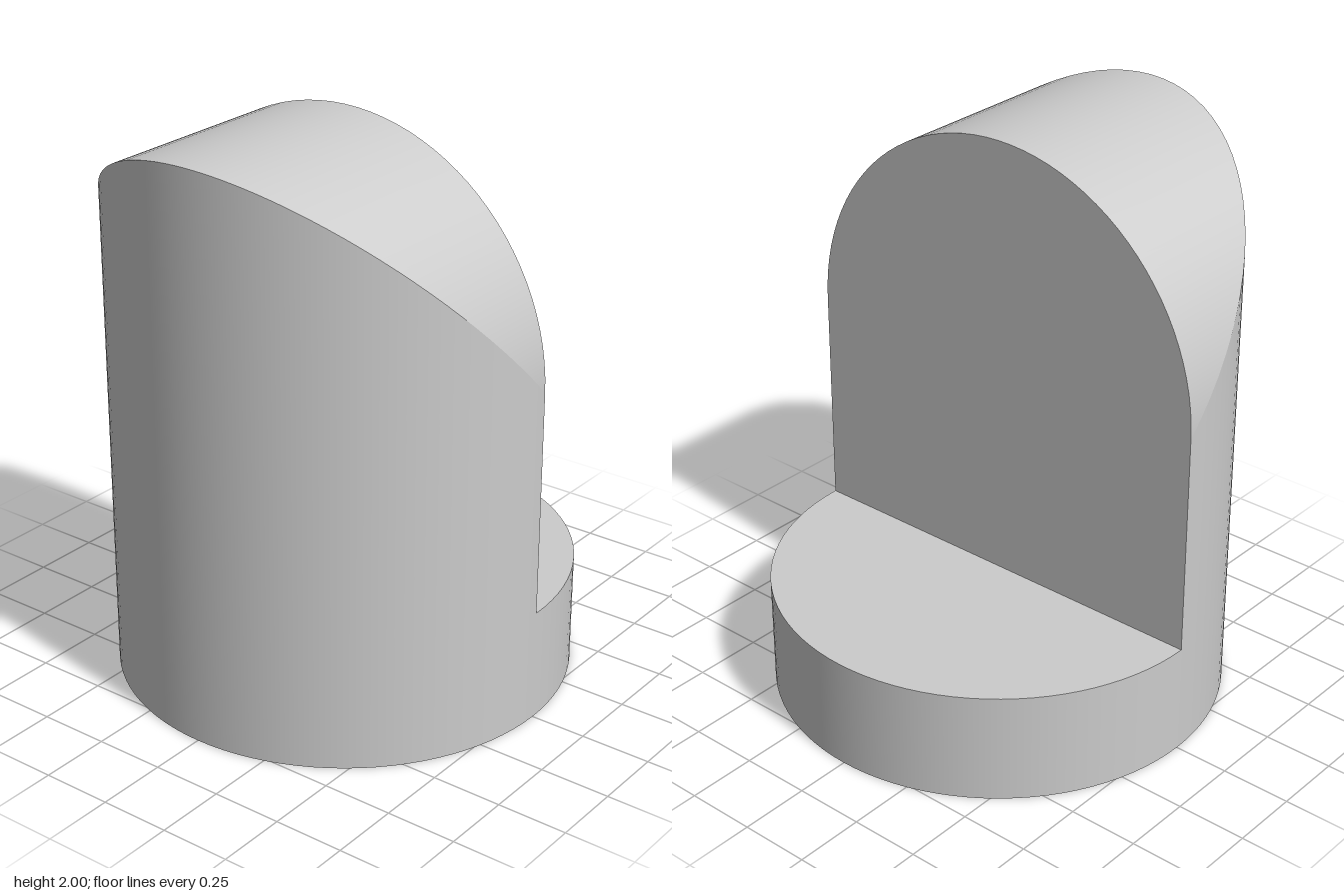
import * as THREE from 'three';

const R = 0.8, BASE_H = 0.4, SPRING_Y = 1.2, SEG = 48;

// Ruled strip swept over the half circle: z = R cos a, s = R sin a.
// from/to give [x, y] of the two edges for s; normal gives the direction for a.
function strip(from, to, normal) {
  const pos = [], nor = [], idx = [];
  for (let i = 0; i <= SEG; i++) {
    const a = (i / SEG) * Math.PI;
    const z = R * Math.cos(a), s = R * Math.sin(a);
    pos.push(...from(s), z, ...to(s), z);
    nor.push(...normal(a), ...normal(a));
    if (i < SEG) {
      const k = 2 * i;
      idx.push(k, k + 1, k + 2, k + 2, k + 1, k + 3);
    }
  }
  const g = new THREE.BufferGeometry();
  g.setAttribute('position', new THREE.Float32BufferAttribute(pos, 3));
  g.setAttribute('normal', new THREE.Float32BufferAttribute(nor, 3));
  g.setIndex(idx);
  return g;
}

export function createModel() {
  const model = new THREE.Group();
  const material = new THREE.MeshStandardMaterial({ color: 0xcccccc });
  const add = (parent, name, geometry) => {
    const mesh = new THREE.Mesh(geometry, material);
    mesh.name = name;
    parent.add(mesh);
  };

  // Round base: rim, underside and the exposed half of its top
  const base = new THREE.Group();
  base.name = 'base';
  add(base, 'baseRim',
    new THREE.CylinderGeometry(R, R, BASE_H, SEG * 2, 1, true).translate(0, BASE_H / 2, 0));
  add(base, 'baseUnderside', new THREE.CircleGeometry(R, SEG * 2).rotateX(Math.PI / 2));
  add(base, 'baseLedge',
    new THREE.CircleGeometry(R, SEG, -Math.PI / 2, Math.PI).rotateX(-Math.PI / 2).translate(0, BASE_H, 0));

  // Upright: half cylinder cut by a horizontal cylinder of equal radius
  const upright = new THREE.Group();
  upright.name = 'upright';
  add(upright, 'curvedWall', strip(
    (s) => [-s, BASE_H], (s) => [-s, SPRING_Y + s], (a) => [-Math.sin(a), 0, Math.cos(a)]));
  add(upright, 'archedTop', strip(
    (s) => [-s, SPRING_Y + s], (s) => [0, SPRING_Y + s], (a) => [0, Math.sin(a), Math.cos(a)]));
  add(upright, 'flatFace', strip(
    (s) => [0, SPRING_Y + s], () => [0, BASE_H], () => [1, 0, 0]));

  model.add(base, upright);
  return model;
}
